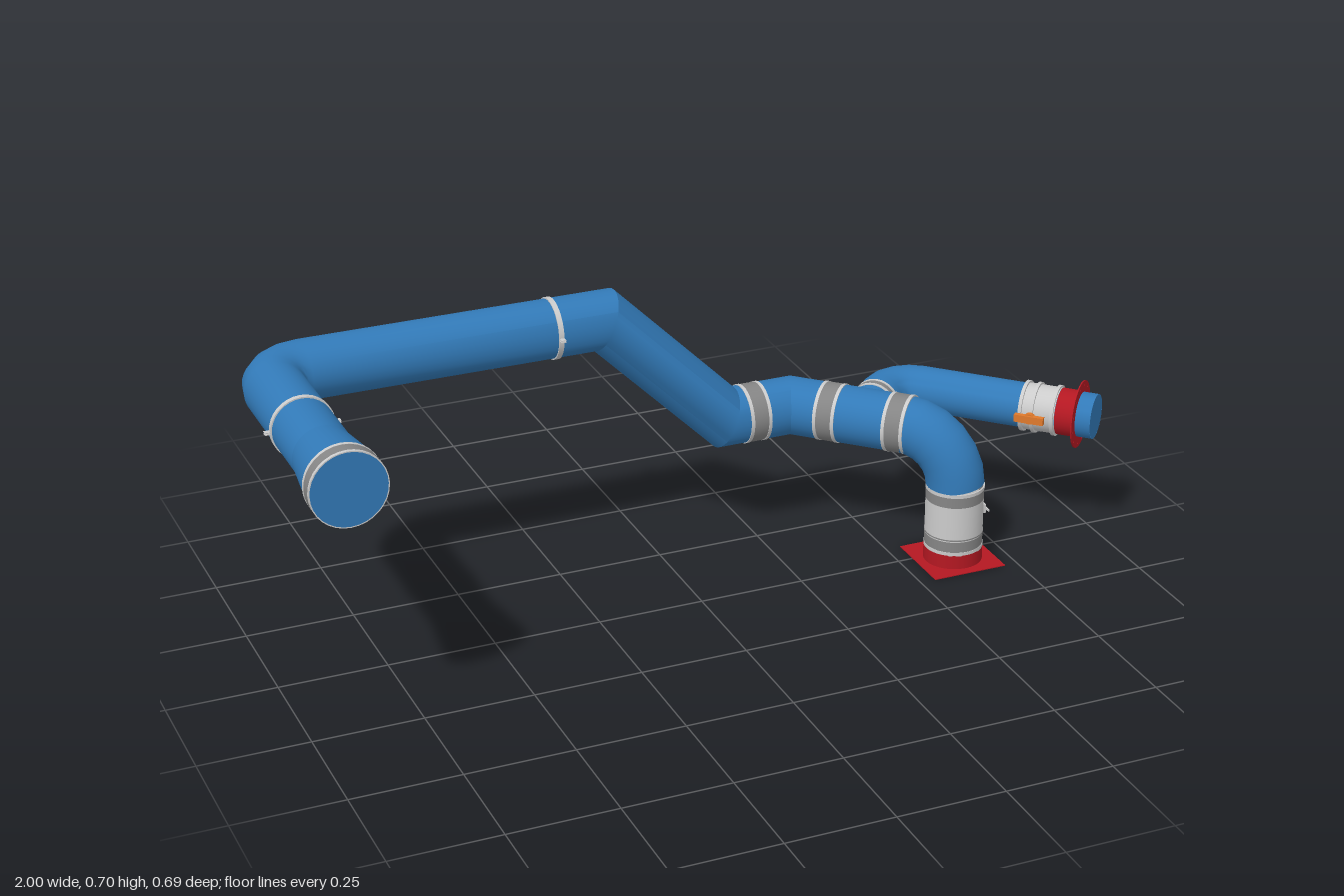
import * as THREE from 'three';
import { toCreasedNormals } from 'three/addons/utils/BufferGeometryUtils.js';

const mat = (color) => new THREE.MeshStandardMaterial({ color, side: THREE.DoubleSide });
const blue = mat(0x327ab8), red = mat(0xb41822), orange = mat(0xe07a2c);
const grey = mat(0xcccccc), dark = mat(0x858585);
const V = (x, y, z) => new THREE.Vector3(x, y, z);
const R = 0.068, r = 0.053, SIDES = 32;

// Round duct along a polyline, with mitred joints
function duct(name, points, radius) {
  const dirs = points.slice(1).map((p, i) => p.clone().sub(points[i]).normalize());
  const side = V(0, 1, 0).cross(dirs[0]);
  if (side.length() < 0.01) side.set(1, 0, 0);
  side.normalize();
  const up = dirs[0].clone().cross(side);
  let ring = [];
  for (let i = 0; i < SIDES; i++) {
    const a = (i / SIDES) * Math.PI * 2;
    ring.push(points[0].clone().addScaledVector(side, Math.cos(a) * radius).addScaledVector(up, Math.sin(a) * radius));
  }
  const pos = [], index = [];
  ring.forEach((v) => pos.push(v.x, v.y, v.z));
  for (let k = 1; k < points.length; k++) {
    const d = dirs[k - 1];
    const n = d.clone().add(dirs[k] || d).normalize();
    ring = ring.map((v) => v.clone().addScaledVector(d, points[k].clone().sub(v).dot(n) / d.dot(n)));
    ring.forEach((v) => pos.push(v.x, v.y, v.z));
    for (let i = 0; i < SIDES; i++) {
      const a = (k - 1) * SIDES + i, b = (k - 1) * SIDES + ((i + 1) % SIDES);
      index.push(a, b, b + SIDES, a, b + SIDES, a + SIDES);
    }
  }
  const g = new THREE.BufferGeometry();
  g.setAttribute('position', new THREE.Float32BufferAttribute(pos, 3));
  g.setIndex(index);
  const mesh = new THREE.Mesh(toCreasedNormals(g, 0.45), blue);
  mesh.name = name;
  return mesh;
}

// Quarter bend: leaves along d1 and ends along d2
function bend(start, d1, d2, radius, steps) {
  const centre = start.clone().addScaledVector(d2, radius);
  return Array.from({ length: steps + 1 }, (_, i) => {
    const a = (i / steps) * Math.PI / 2;
    return centre.clone().addScaledVector(d2, -Math.cos(a) * radius).addScaledVector(d1, Math.sin(a) * radius);
  });
}

// Group whose local y axis points along dir
function frame(name, at, dir) {
  const g = new THREE.Group();
  g.name = name;
  g.position.copy(at);
  const y = dir.clone().normalize();
  const x = Math.abs(y.y) > 0.9 ? V(1, 0, 0) : y.clone().cross(V(0, 1, 0)).normalize();
  g.quaternion.setFromRotationMatrix(new THREE.Matrix4().makeBasis(x, y, x.clone().cross(y)));
  return g;
}

function add(parent, name, geometry, material, x = 0, y = 0, z = 0) {
  const m = new THREE.Mesh(geometry, material);
  m.name = name;
  m.position.set(x, y, z);
  parent.add(m);
  return m;
}

// Open sleeve between two heights of a frame
const sleeve = (parent, name, y0, y1, rad, material, topRad = rad) =>
  add(parent, name, new THREE.CylinderGeometry(topRad, rad, y1 - y0, SIDES, 1, true), material, 0, (y0 + y1) / 2);

// Raised solid ring with flat sides
function collar(parent, name, y0, y1, inner, outer, material) {
  const p = [[inner, y0], [outer, y0], [outer, y1], [inner, y1]].map((q) => new THREE.Vector2(...q));
  return add(parent, name, toCreasedNormals(new THREE.LatheGeometry(p, SIDES), 0.6), material);
}

// Dark joint band with a pale bead on each edge
function joint(parent, at, dir, rad, half = 0.022) {
  const g = frame('jointBand', at, dir);
  collar(g, 'band', -half, half, rad - 0.002, rad + 0.001, dark);
  for (const s of [-1, 1]) collar(g, 'bead', s * half - 0.004, s * half + 0.004, rad - 0.002, rad + 0.002, grey);
  parent.add(g);
}

// Narrow clamp ring with a bolted ear on each side
function clamp(parent, at, dir) {
  const g = frame('clampRing', at, dir);
  collar(g, 'ring', -0.006, 0.006, R - 0.002, R + 0.003, grey);
  for (const s of [-1, 1]) for (const t of [-1, 1])
    add(g, 'clampEar', new THREE.BoxGeometry(0.016, 0.012, 0.002), grey, s * (R + 0.007), 0, t * 0.002);
  parent.add(g);
}

export function createModel() {
  const model = new THREE.Group();
  const back = V(-1, 0, -1).normalize(), out = V(1, 0, -1).normalize(), fwd = V(1, 0, 1).normalize();
  const up = V(0, 1, 0), left = V(-1, 0, 0), front = V(0, 0, 1);

  // Main duct run
  model.add(duct('mainDuct', [
    ...bend(V(0.627, 0.19, 0.027), up, back, 0.131, 6),
    V(0.337, 0.321, -0.262), V(0.168, 0.321, -0.262), V(-0.13, 0.617, -0.262),
    ...bend(V(-0.833, 0.617, -0.262), left, front, 0.083, 4),
    V(-0.916, 0.617, 0.17)], R));
  joint(model, V(0.53, 0.321, -0.07), back, R);
  joint(model, V(0.412, 0.321, -0.188), back, R);
  joint(model, V(0.235, 0.321, -0.262), left, R);
  clamp(model, V(-0.255, 0.617, -0.262), left);
  clamp(model, V(-0.916, 0.617, 0.02), front);

  // Flared outlet
  const outlet = frame('outlet', V(-0.916, 0.617, 0), front);
  sleeve(outlet, 'flare', 0.17, 0.3, R, blue, 0.084);
  collar(outlet, 'outletRing', 0.306, 0.336, 0.083, 0.085, dark);
  collar(outlet, 'outletBead', 0.298, 0.307, 0.083, 0.0855, grey);
  collar(outlet, 'outletRim', 0.335, 0.343, 0.083, 0.0855, grey);
  add(outlet, 'outletCover', new THREE.CircleGeometry(0.0835, SIDES).rotateX(-Math.PI / 2), blue, 0, 0.3425);
  model.add(outlet);

  // Base riser
  const base = frame('baseRiser', V(0.627, 0, 0.027), up);
  sleeve(base, 'baseSocket', 0, 0.036, R + 0.001, red);
  collar(base, 'lowerBead', 0.035, 0.044, R - 0.002, R + 0.001, grey);
  sleeve(base, 'lowerBand', 0.044, 0.07, R, dark);
  sleeve(base, 'damperBody', 0.07, 0.158, R, grey);
  collar(base, 'seam', 0.073, 0.076, R - 0.002, R + 0.001, dark);
  sleeve(base, 'upperBand', 0.158, 0.185, R, dark);
  collar(base, 'upperBead', 0.184, 0.192, R - 0.002, R + 0.001, grey);
  add(base, 'leverMount', new THREE.BoxGeometry(0.012, 0.022, 0.022), grey, R + 0.004, 0.115, 0);
  add(base, 'lever', new THREE.BoxGeometry(0.003, 0.005, 0.075), grey, R + 0.011, 0.115, -0.013);
  model.add(base);

  // Square floor plate with a round opening
  const plate = new THREE.Shape([[-1, -1], [1, -1], [1, 1], [-1, 1]].map(([a, b]) => new THREE.Vector2(a * 0.091, b * 0.091)));
  plate.holes.push(new THREE.Path().absarc(0, 0, R, 0, Math.PI * 2, true));
  add(base, 'floorPlate', new THREE.ExtrudeGeometry(plate, { depth: 0.002, bevelEnabled: false, curveSegments: 24 })
    .rotateX(-Math.PI / 2), red);

  // Side branch
  const tip = V(0.963, 0.321, 0.077);
  model.add(duct('branchDuct', [
    V(0.464, 0.321, -0.134), ...bend(V(0.556, 0.321, -0.226), out, fwd, 0.075, 4), tip], r));
  joint(model, V(0.523, 0.321, -0.193), out, r, 0.012);

  // Branch fittings, measured back from the tip
  const end = frame('branchEnd', tip, fwd);
  add(end, 'branchCover', new THREE.CircleGeometry(r, SIDES).rotateX(-Math.PI / 2), blue);
  sleeve(end, 'flangeSocket', -0.085, -0.037, r + 0.002, red);
  collar(end, 'damperSleeve', -0.17, -0.086, r - 0.002, r + 0.002, grey);
  for (const y of [-0.168, -0.14, -0.092]) collar(end, 'damperBead', y - 0.004, y + 0.004, r, r + 0.007, grey);
  const disc = new THREE.Shape().absarc(0, 0, 0.08, 0, Math.PI * 2);
  disc.holes.push(new THREE.Path().absarc(0, 0, r, 0, Math.PI * 2, true));
  for (let i = 0; i < 12; i++) {
    const a = ((i + 0.5) / 12) * Math.PI * 2;
    disc.holes.push(new THREE.Path().absarc(Math.cos(a) * 0.07, Math.sin(a) * 0.07, 0.0025, 0, Math.PI * 2, true));
  }
  add(end, 'boltFlange', new THREE.ExtrudeGeometry(disc, { depth: 0.003, bevelEnabled: false, curveSegments: 16 })
    .rotateX(-Math.PI / 2), red, 0, -0.039);
  model.add(end);

  // Orange damper handle on the inner side of the branch
  const handle = frame('damperHandle', V(0.864, 0.321, -0.022), V(-1, 0, 1));
  add(handle, 'handleStem', new THREE.CylinderGeometry(0.006, 0.006, 0.03, 12), grey, 0, 0.06);
  add(handle, 'handleHub', new THREE.CylinderGeometry(0.013, 0.013, 0.012, 16), orange, 0, 0.068);
  add(handle, 'handleGrip', new THREE.BoxGeometry(0.07, 0.012, 0.018), orange, 0, 0.073);
  model.add(handle);

  return model;
}
